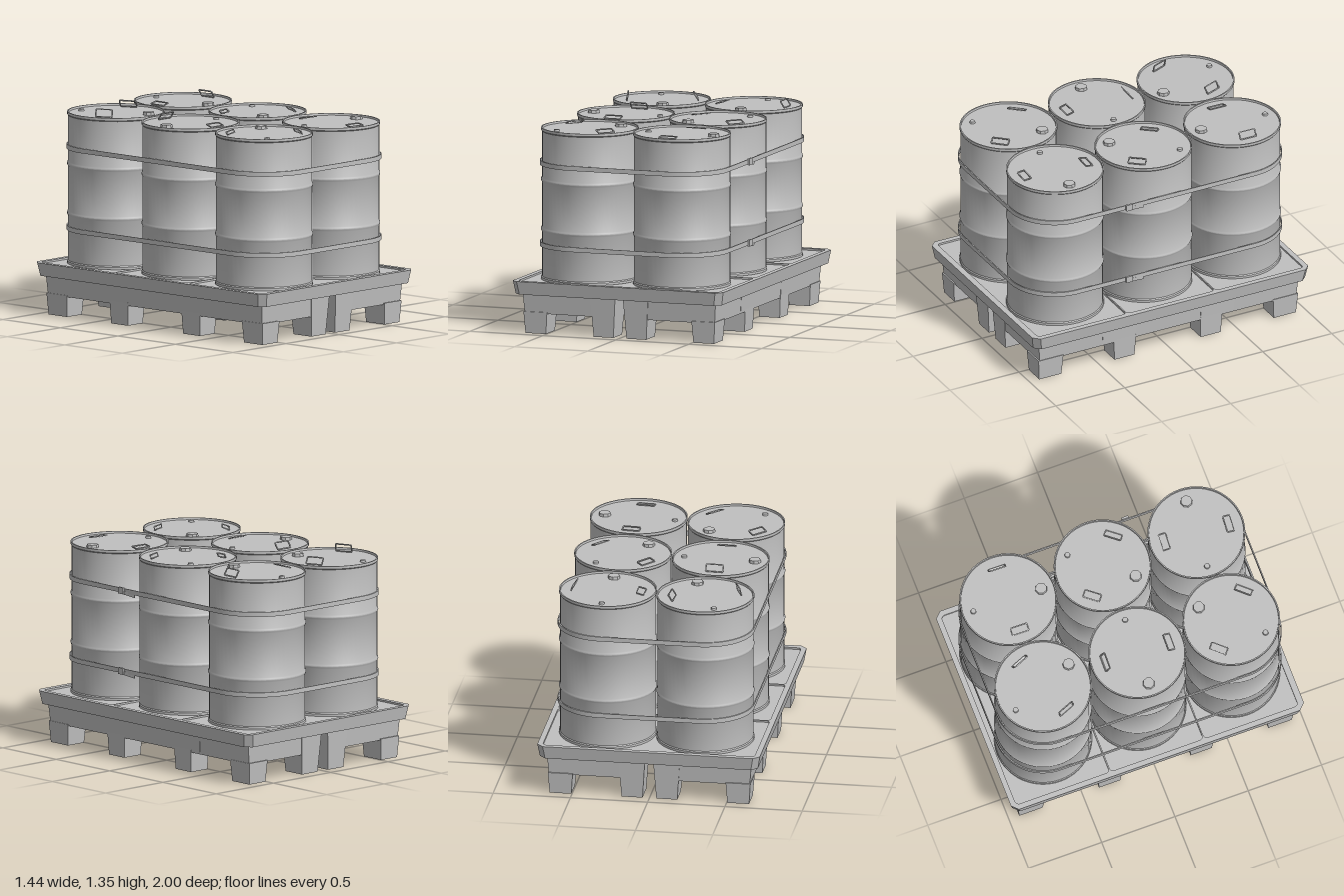
import * as THREE from 'three';
import { toCreasedNormals } from 'three/addons/utils/BufferGeometryUtils.js';

const grey = new THREE.MeshStandardMaterial({ color: 0xc0c0c0 });
grey.name = 'light grey';

function add(parent, geometry, name, x = 0, y = 0, z = 0) {
  const mesh = new THREE.Mesh(geometry, grey);
  mesh.name = name;
  mesh.position.set(x, y, z);
  parent.add(mesh);
  return mesh;
}

const faceted = (g) => toCreasedNormals(g, 0.5);

// Rounded rectangle outline in the ground plane (shape y becomes -z)
function roundedRect(Type, x0, x1, z0, z1, r) {
  const p = new Type();
  p.absarc(x1 - r, -z0 - r, r, 0, Math.PI / 2);
  p.absarc(x0 + r, -z0 - r, r, Math.PI / 2, Math.PI);
  p.absarc(x0 + r, -z1 + r, r, Math.PI, Math.PI * 1.5);
  p.absarc(x1 - r, -z1 + r, r, Math.PI * 1.5, Math.PI * 2);
  p.closePath();
  return p;
}

// Extrude a ground-plane shape upward
function slab(shape, height, curveSegments = 6) {
  return new THREE.ExtrudeGeometry(shape, { depth: height, bevelEnabled: false, curveSegments }).rotateX(-Math.PI / 2);
}

// Box standing on y = 0 whose top is wider than its bottom by `flare` per side
function flaredBox(w, h, d, flare) {
  const g = new THREE.BoxGeometry(w, h, d).translate(0, h / 2, 0);
  const p = g.attributes.position;
  for (let i = 0; i < p.count; i++) {
    if (p.getY(i) < h / 2) continue;
    p.setX(i, p.getX(i) + Math.sign(p.getX(i)) * flare);
    p.setZ(i, p.getZ(i) + Math.sign(p.getZ(i)) * flare);
  }
  const flat = g.toNonIndexed();
  flat.computeVertexNormals();
  return flat;
}

// Deck outline with clipped corners
function deckShape() {
  const X = 0.72, Z = 1, c = 0.04;
  return new THREE.Shape([
    [X, -Z + c], [X, Z - c], [X - c, Z], [-X + c, Z],
    [-X, Z - c], [-X, -Z + c], [-X + c, -Z], [X - c, -Z],
  ].map(([x, y]) => new THREE.Vector2(x, y)));
}

// Side walls lean inward towards the bottom
function leanWalls(g, baseY) {
  const p = g.attributes.position;
  for (let i = 0; i < p.count; i++) {
    const x = p.getX(i), z = p.getZ(i);
    const inset = (0.34 - baseY - p.getY(i)) * 0.17;
    if (Math.abs(x) > 0.69 || Math.abs(z) > 0.97) {
      p.setX(i, x - Math.sign(x) * inset);
      p.setZ(i, z - Math.sign(z) * inset);
    }
  }
  return faceted(g);
}

function makePallet() {
  const pallet = new THREE.Group();
  pallet.name = 'pallet';
  add(pallet, leanWalls(slab(deckShape(), 0.073), 0.255), 'deck', 0, 0.255, 0);

  // Raised rim and dividers around three shallow bays
  const rim = deckShape();
  for (const [z0, z1] of [[-0.965, -0.328], [-0.32, 0.312], [0.32, 0.96]]) {
    rim.holes.push(roundedRect(THREE.Path, -0.685, 0.685, z0, z1, 0.025));
  }
  add(pallet, leanWalls(slab(rim, 0.012), 0.328), 'deckRim', 0, 0.328, 0);

  // Six square stiffening frames under the deck
  const s = Math.SQRT2;
  const profile = [[0.125, 0.256], [0.15, 0.13], [0.29, 0.13], [0.3, 0.256]]
    .map(([r, y]) => new THREE.Vector2(r * s, y));
  const frame = new THREE.LatheGeometry(profile, 4).rotateY(Math.PI / 4).toNonIndexed();
  frame.computeVertexNormals();
  for (const x of [-0.36, 0.36]) for (const z of [-0.64, 0, 0.64]) add(pallet, frame, 'underFrame', x, 0, z);

  // Feet: corners, middle of the short ends, long sides, centre
  const corner = flaredBox(0.14, 0.14, 0.16, 0.01);
  const endFoot = flaredBox(0.135, 0.256, 0.155, 0.018);
  const sideFoot = flaredBox(0.14, 0.15, 0.145, 0.008);
  const sideWeb = flaredBox(0.15, 0.11, 0.235, 0.008);
  for (const sx of [-1, 1]) for (const sz of [-1, 1]) {
    add(pallet, corner, 'cornerFoot', sx * 0.575, 0, sz * 0.85);
    add(pallet, endFoot, 'endFoot', sx * 0.1125, 0, sz * 0.848);
    add(pallet, sideFoot, 'sideFoot', sx * 0.575, 0, sz * 0.3125);
    add(pallet, sideWeb, 'sideFootWeb', sx * 0.578, 0.146, sz * 0.355);
  }
  add(pallet, flaredBox(0.14, 0.256, 0.14, 0.01), 'centreFoot');
  return pallet;
}

// Drum body: recessed ends, rolled rims and two rolling beads
const R = 0.308;
const bead = (y) => [[R, y - 0.016], [R + 0.004, y - 0.008], [R + 0.006, y], [R + 0.004, y + 0.008], [R, y + 0.016]];
const drumBody = faceted(new THREE.LatheGeometry([
  [0, 0.34], [0.3, 0.34], [0.302, 0.33], [0.313, 0.33], [0.313, 0.345], [R, 0.352],
  ...bead(0.655), ...bead(0.975),
  [R, 1.287], [0.313, 1.293], [0.313, 1.31], [0.305, 1.31], [0.303, 1.297], [0, 1.297],
].map(([x, y]) => new THREE.Vector2(x, y)), 56));

// Thin wire handle loop, hinged along its local x axis
const handleShape = roundedRect(THREE.Shape, -0.059, 0.059, -0.055, 0, 0.01);
handleShape.holes.push(roundedRect(THREE.Path, -0.052, 0.052, -0.048, -0.007, 0.005));
const handleGeo = faceted(slab(handleShape, 0.007, 3));
const bungGeo = faceted(new THREE.CylinderGeometry(0.037, 0.04, 0.02, 8));
const capGeo = faceted(new THREE.CylinderGeometry(0.017, 0.019, 0.014, 12));

// Angle points to the large bung; the small cap is opposite, handles at right angles
function makeDrum(x, z, bungX, bungZ, lifts) {
  const drum = new THREE.Group();
  drum.name = 'drum';
  drum.position.set(x, 0, z);
  add(drum, drumBody, 'drumBody');
  const lid = new THREE.Group();
  lid.name = 'lidFittings';
  lid.position.y = 1.297;
  lid.rotation.y = Math.atan2(-(bungZ - z), bungX - x);
  drum.add(lid);
  add(lid, bungGeo, 'largeBung', 0.222, 0.009, 0);
  add(lid, capGeo, 'smallCap', -0.237, 0.006, 0);
  [1, -1].forEach((side, i) => {
    const pivot = new THREE.Group();
    pivot.name = 'handle';
    pivot.rotation.y = side > 0 ? 0 : Math.PI;
    lid.add(pivot);
    const reach = 0.0275 * Math.cos(lifts[i]);
    add(pivot, handleGeo, 'handleLoop', 0, 0.002, 0.215 + reach).rotation.x = lifts[i];
  });
  return drum;
}

// Strap loop wrapped around all the drums, with a buckle and loose tail
function makeStrap(y) {
  const strap = new THREE.Group();
  strap.name = 'strap';
  const band = roundedRect(THREE.Shape, -0.634, 0.634, -0.963, 0.963, 0.318);
  band.holes.push(roundedRect(THREE.Path, -0.627, 0.627, -0.956, 0.956, 0.311));
  add(strap, faceted(slab(band, 0.03, 16)), 'strapBand', 0, y - 0.015, 0);
  add(strap, new THREE.BoxGeometry(0.014, 0.042, 0.045), 'buckle', 0.64, y, 0.275);
  const tail = add(strap, new THREE.BoxGeometry(0.004, 0.024, 0.11), 'strapTail', 0.632, y - 0.016, 0.22);
  tail.rotation.set(-0.12, 0.12, 0);
  return strap;
}

export function createModel() {
  const model = new THREE.Group();
  model.name = 'drumPallet';
  model.add(makePallet());

  // x, z, large bung x, large bung z, handle lift angles
  const drums = [
    [-0.318, -0.645, -0.235, -0.44, [1.35, 1.0]],
    [0.312, -0.645, 0.308, -0.42, [0.25, 1.0]],
    [-0.315, 0, -0.535, -0.005, [0.95, 0.3]],
    [0.316, 0, 0.18, 0.17, [0.2, 0.35]],
    [-0.315, 0.64, -0.165, 0.475, [0.35, 0.35]],
    [0.316, 0.64, 0.54, 0.655, [0.15, 0.15]],
  ];
  for (const d of drums) model.add(makeDrum(...d));

  for (const y of [0.56, 1.085]) model.add(makeStrap(y));
  return model;
}
